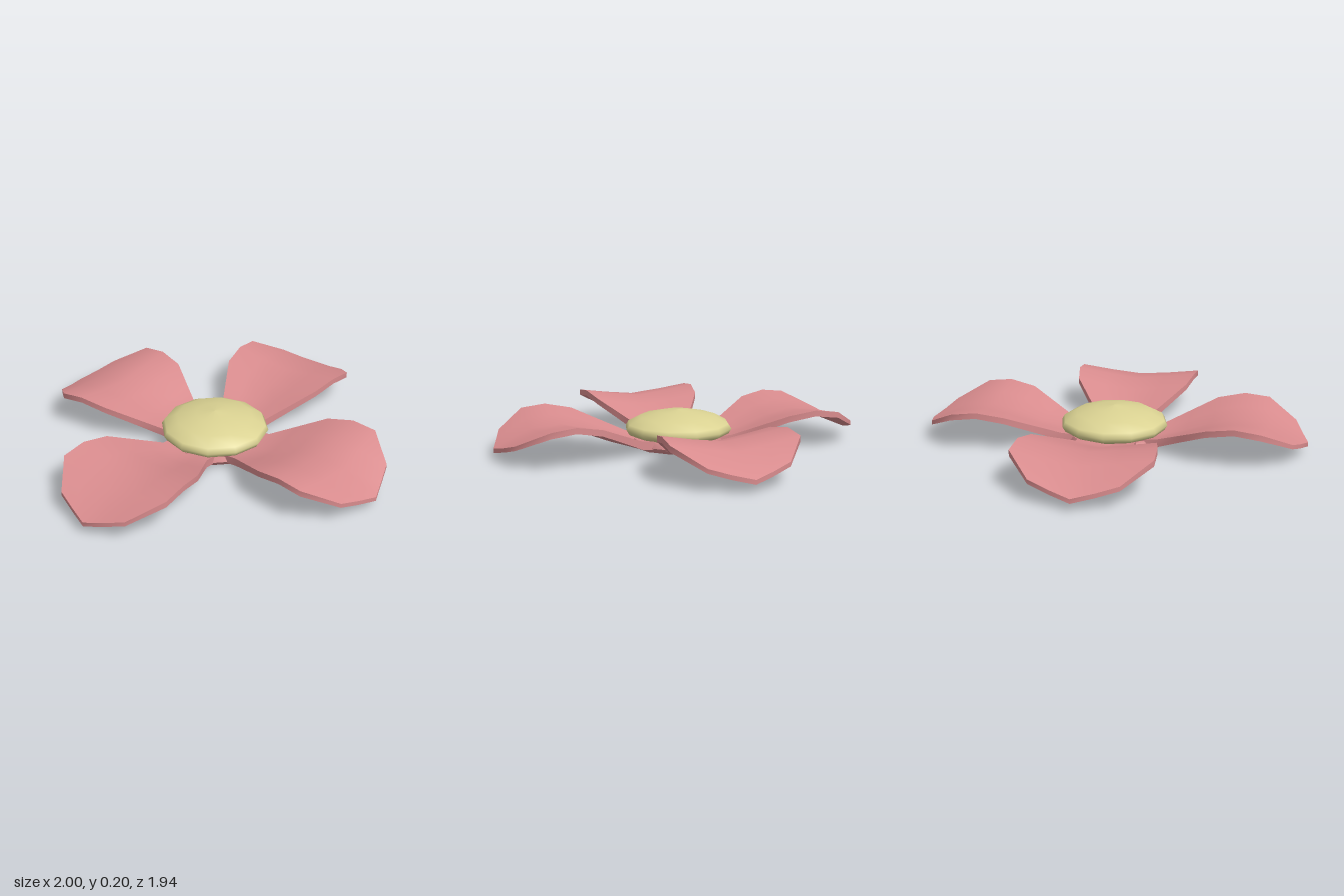
import * as THREE from 'three';
import { toCreasedNormals } from 'three/addons/utils/BufferGeometryUtils.js';

const pink = new THREE.MeshStandardMaterial({ color: 0xd98c8e });
const yellow = new THREE.MeshStandardMaterial({ color: 0xdad292 });

// Petal stations: distance out, half width, centre height, edge height, centre bulge, thickness
const STATIONS = [
  [0.10, 0.14, 0.050, 0.060, 0.00, 0.045],
  [0.25, 0.14, 0.052, 0.070, 0.00, 0.042],
  [0.38, 0.215, 0.085, 0.125, 0.00, 0.036],
  [0.51, 0.29, 0.130, 0.180, 0.00, 0.032],
  [0.65, 0.315, 0.160, 0.205, 0.00, 0.030],
  [0.78, 0.32, 0.145, 0.190, 0.03, 0.030],
  [0.93, 0.20, 0.060, 0.110, 0.07, 0.022],
];
const ACROSS = [-1, -0.5, 0, 0.5, 1];

// Cupped petal pointing along +x, as a closed skin of cross-sections
function petalGeometry() {
  const pos = [], index = [];
  const n = ACROSS.length, ring = 2 * n, last = STATIONS.length - 1;
  for (const [r, w, yc, ye, bulge, thick] of STATIONS) {
    const point = (t, drop) => pos.push(
      r + bulge * (1 - Math.abs(t)),
      yc + (ye - yc) * Math.abs(t) ** 1.2 - drop,
      w * t);
    ACROSS.forEach(t => point(t, 0));
    [...ACROSS].reverse().forEach(t => point(t, thick));
  }
  for (let i = 0; i < last; i++) {
    for (let j = 0; j < ring; j++) {
      const k = (j + 1) % ring;
      const a = i * ring + j, b = i * ring + k, c = a + ring, d = b + ring;
      index.push(a, b, c, b, d, c);
    }
  }
  // thin wall closing the tip
  for (let j = 0; j < n - 1; j++) {
    const a = last * ring + j, b = a + 1;
    const d = last * ring + ring - 1 - j, c = d - 1;
    index.push(a, b, c, a, c, d);
  }
  const geo = new THREE.BufferGeometry();
  geo.setAttribute('position', new THREE.Float32BufferAttribute(pos, 3));
  geo.setIndex(index);
  return toCreasedNormals(geo, 0.8);
}

// Twelve-sided turned part from [radius, height] pairs, bottom to top
function turned(profile) {
  const points = profile.map(([r, y]) => new THREE.Vector2(r, y));
  return new THREE.LatheGeometry(points, 12);
}

export function createModel() {
  const flower = new THREE.Group();
  flower.name = 'flower';
  const add = (name, geometry, material) => {
    const mesh = new THREE.Mesh(geometry, material);
    mesh.name = name;
    flower.add(mesh);
    return mesh;
  };

  // Base disc joining the petals
  const base = turned([[0, 0], [0.23, 0.005], [0.25, 0.03], [0.24, 0.055], [0, 0.06]]);
  add('base', toCreasedNormals(base, 0.9), pink);

  // Domed centre
  add('centre', turned([
    [0, 0.05], [0.22, 0.055], [0.265, 0.075], [0.28, 0.1],
    [0.265, 0.125], [0.2, 0.16], [0.1, 0.183], [0, 0.195],
  ]), yellow);

  // Four petals; the front and back ones are slightly shorter and wider
  const petal = petalGeometry();
  ['leftPetal', 'backPetal', 'rightPetal', 'frontPetal'].forEach((name, i) => {
    const mesh = add(name, petal, pink);
    mesh.rotation.y = i * Math.PI / 2;
    if (i % 2) mesh.scale.set(0.968, 1, 1.06);
  });
  return flower;
}
